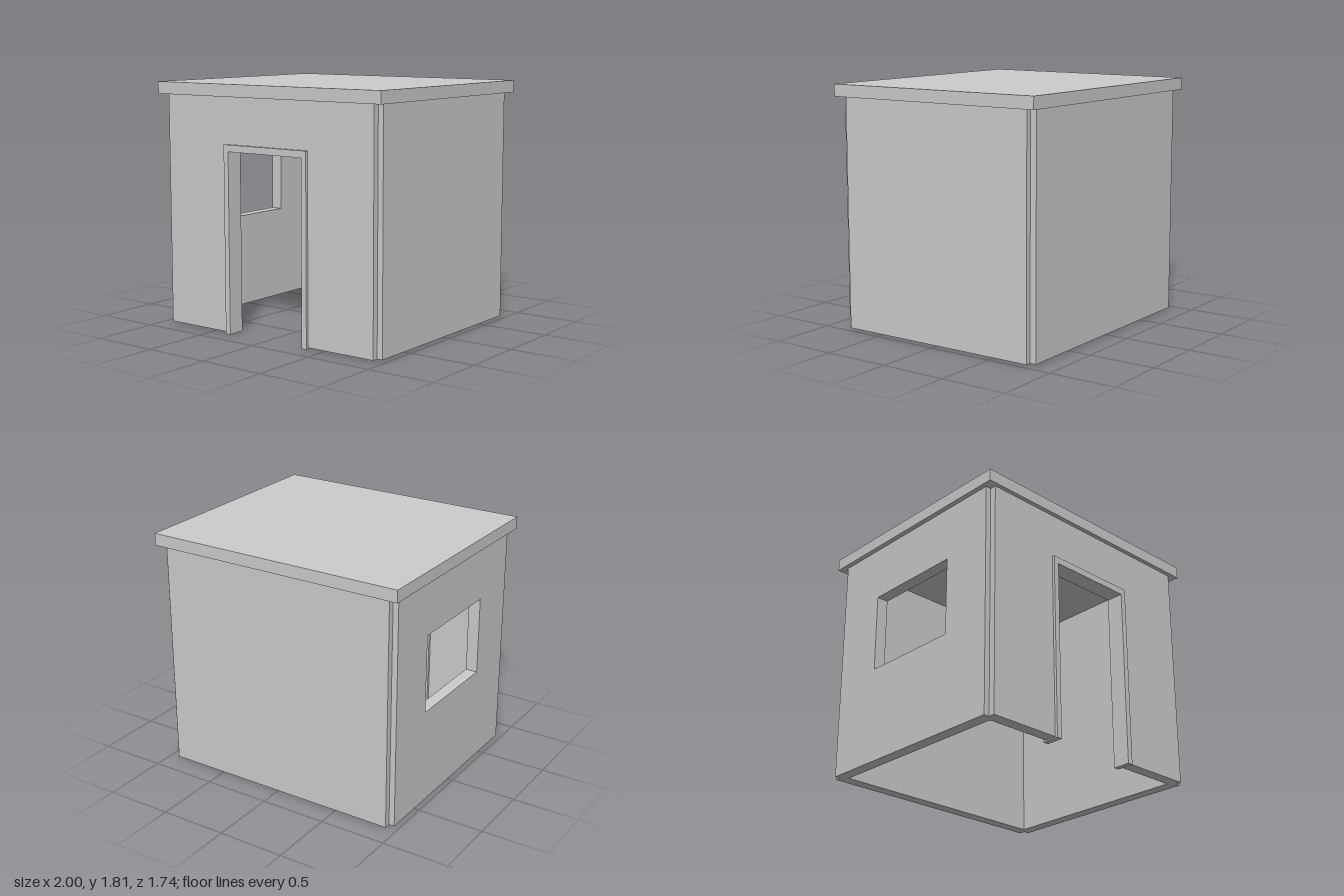
import * as THREE from 'three';

const material = new THREE.MeshStandardMaterial({ color: 0xcccccc, flatShading: true });
const BASE = 0.01, WALL_TOP = 1.72, THICK = 0.09;

function rectangle(Type, x0, y0, x1, y1) {
  const r = new Type();
  r.moveTo(x0, y0).lineTo(x1, y0).lineTo(x1, y1).lineTo(x0, y1).closePath();
  return r;
}

// Upright arch outline with straight legs, open at the bottom
function arch(outerX, outerTop, innerX, innerTop, bottom) {
  return new THREE.Shape([
    [-outerX, bottom], [-innerX, bottom], [-innerX, innerTop], [innerX, innerTop],
    [innerX, bottom], [outerX, bottom], [outerX, outerTop], [-outerX, outerTop],
  ].map(([x, y]) => new THREE.Vector2(x, y)));
}

function slab(name, shape, depth) {
  const geometry = new THREE.ExtrudeGeometry(shape, { depth, bevelEnabled: false });
  const mesh = new THREE.Mesh(geometry, material);
  mesh.name = name;
  return mesh;
}

export function createModel() {
  const model = new THREE.Group();
  model.name = 'smallBuilding';

  // Front wall with the doorway
  const front = slab('frontWall', arch(0.923, WALL_TOP, 0.35, 1.355, BASE), THICK);
  front.position.z = 0.747;

  // Back wall
  const back = slab('backWall', rectangle(THREE.Shape, -0.923, BASE, 0.923, WALL_TOP), THICK);
  back.position.z = -0.837;

  // Side walls stop short of the front and back faces, leaving notched corners
  for (const side of [-1, 1]) {
    const outline = rectangle(THREE.Shape, -0.79, BASE, 0.79, WALL_TOP);
    // Window opening on one side only
    if (side < 0) outline.holes.push(rectangle(THREE.Path, -0.39, 0.725, 0.39, 1.31));
    const wall = slab(side < 0 ? 'rightWall' : 'leftWall', outline, THICK);
    wall.rotation.y = side * Math.PI / 2;
    wall.position.x = side * (0.965 - THICK);
    model.add(wall);
  }

  // Door frame, standing proud of the wall on both faces
  const frame = slab('doorFrame', arch(0.372, 1.38, 0.33, 1.33, 0), 0.132);
  frame.position.z = 0.725;

  // Flat overhanging roof
  const roof = new THREE.Mesh(new THREE.BoxGeometry(2, 0.09, 1.736), material);
  roof.name = 'roof';
  roof.position.y = WALL_TOP + 0.045;

  model.add(front, back, frame, roof);
  return model;
}
